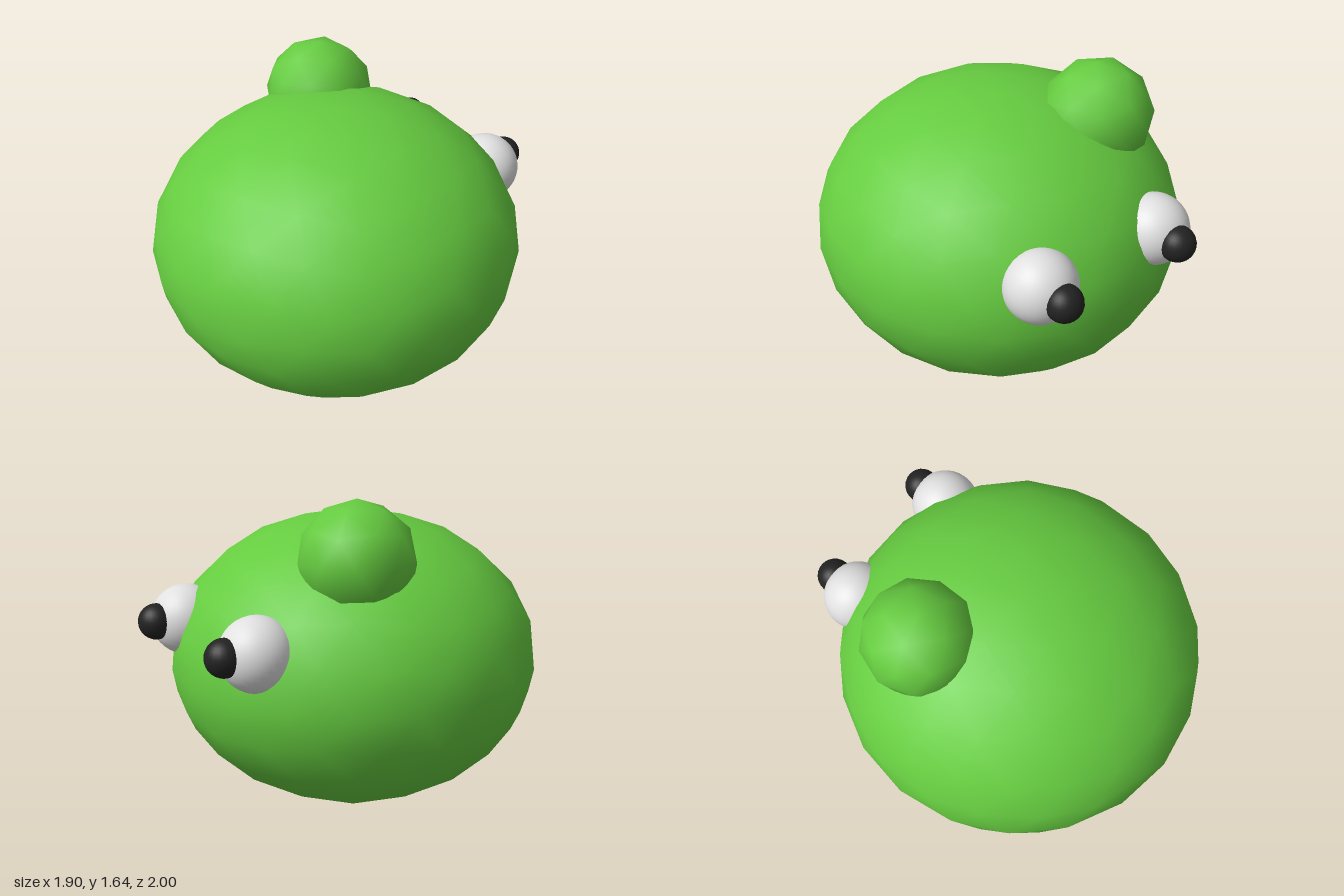
import * as THREE from 'three';

// Smooth-shaded icosphere with its pole on y, halved "steps" times
function icosphere(steps) {
  const h = 1 / Math.sqrt(5), r = 2 * h;
  let verts = [0, 1, 0, 0, -1, 0];
  let faces = [];
  for (let i = 0; i < 5; i++) {
    const a = Math.PI + (i * 2 * Math.PI) / 5, b = a + Math.PI / 5;
    verts.push(r * Math.cos(a), h, r * Math.sin(a));
    verts.push(r * Math.cos(b), -h, r * Math.sin(b));
    const u = 2 + 2 * i, l = u + 1, n = 2 + 2 * ((i + 1) % 5), m = n + 1;
    faces.push(0, n, u, u, n, l, l, n, m, l, m, 1);
  }
  let geo;
  for (let s = 0; s < steps; s++) {
    geo = new THREE.PolyhedronGeometry(verts, faces, 1, 1);
    verts = Array.from(geo.attributes.position.array);
    faces = Array.from({ length: verts.length / 3 }, (_, i) => i);
  }
  return geo;
}

export function createModel() {
  const model = new THREE.Group();
  model.name = 'blobCreature';

  const mat = (name, color) => {
    const m = new THREE.MeshStandardMaterial({ color });
    m.name = name;
    return m;
  };
  const green = mat('green skin', 0x66cc40);
  const white = mat('eye white', 0xe0e0e0);
  const black = mat('pupil black', 0x222222);

  const add = (name, geo, material, x, y, z) => {
    const mesh = new THREE.Mesh(geo, material);
    mesh.name = name;
    mesh.position.set(x, y, z);
    model.add(mesh);
    return mesh;
  };

  // Squashed body
  add('body', icosphere(2).scale(0.952, 0.75, 0.953), green, 0, 0.75, 0.043);

  // Round lump on the top
  const lump = add('lump', icosphere(1).scale(0.285, 0.285, 0.285), green, -0.405, 1.355, -0.232);
  lump.rotation.set(0.05, 0.3, -0.06);

  // Pair of eyes, looking along -z
  for (const side of [1, -1]) {
    const label = side > 0 ? 'left' : 'right';
    add(label + 'Eyeball', new THREE.SphereGeometry(0.178, 32, 20), white, side * 0.345, 0.985, -0.745);
    add(label + 'Pupil', new THREE.SphereGeometry(0.09, 24, 16), black, side * 0.343, 1.0, -0.91);
  }

  return model;
}
